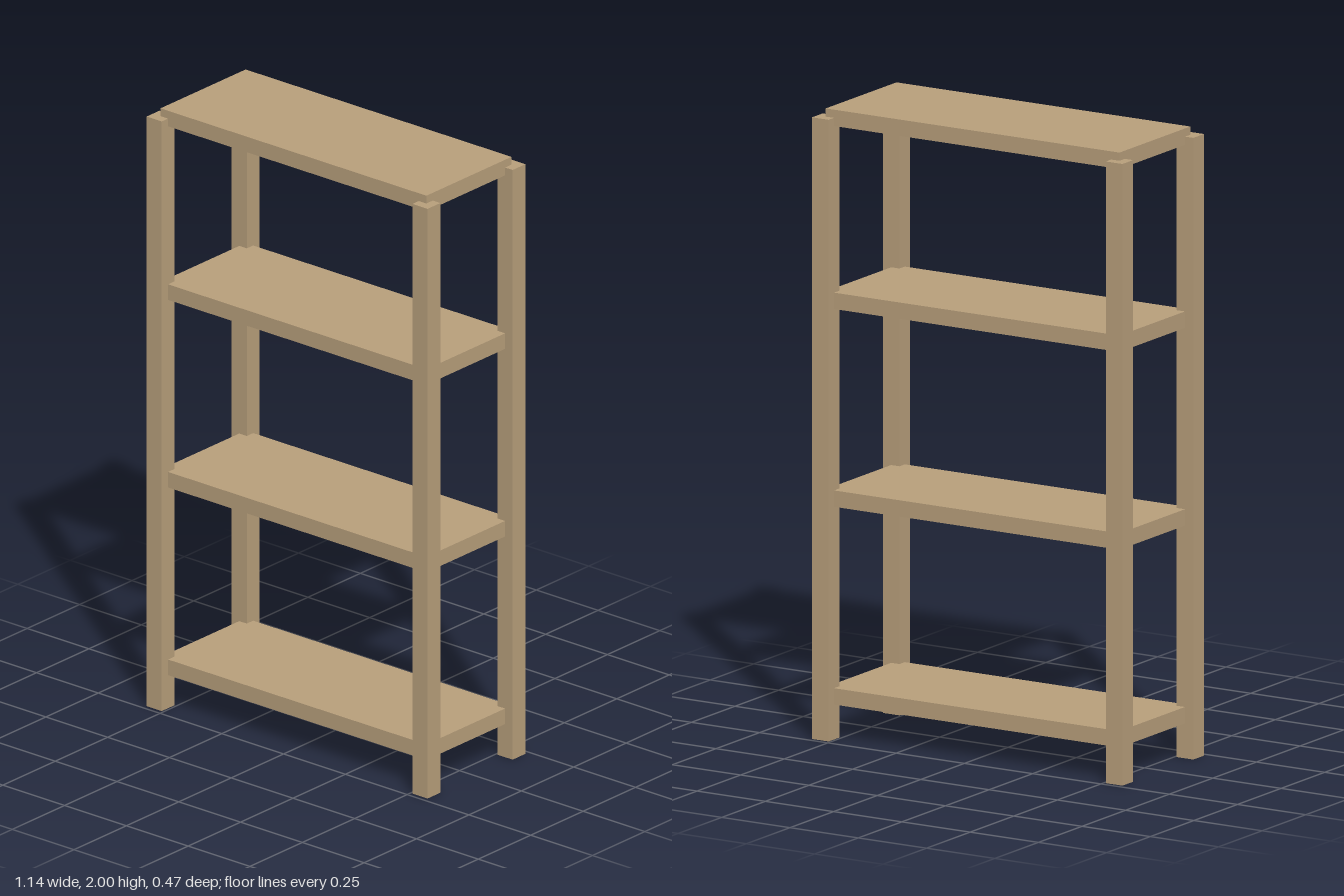
import * as THREE from 'three';

export function createModel() {
  const model = new THREE.Group();
  model.name = 'shelvingUnit';

  const wood = new THREE.MeshStandardMaterial({ color: 0xb9a07c });
  wood.name = 'light wood';

  const postX = 0.538, postZ = 0.203;
  const postSize = 0.061, postHeight = 1.974;
  const shelfThickness = 0.052;

  function addBox(name, width, height, depth, x, bottom, z) {
    const mesh = new THREE.Mesh(new THREE.BoxGeometry(width, height, depth), wood);
    mesh.name = name;
    mesh.position.set(x, bottom + height / 2, z);
    model.add(mesh);
  }

  // Four square corner posts
  for (const [side, sx] of [['Left', 1], ['Right', -1]]) {
    for (const [end, sz] of [['front', 1], ['back', -1]]) {
      addBox(`${end}${side}Post`, postSize, postHeight, postSize, sx * postX, 0, sz * postZ);
    }
  }

  // Shelf boards reach the post centres; the top one stands slightly proud
  const shelves = { bottomShelf: 0.163, lowerShelf: 0.791, upperShelf: 1.419, topShelf: 2 };
  for (const [name, top] of Object.entries(shelves)) {
    addBox(name, postX * 2, shelfThickness, postZ * 2, 0, top - shelfThickness, 0);
  }

  return model;
}
